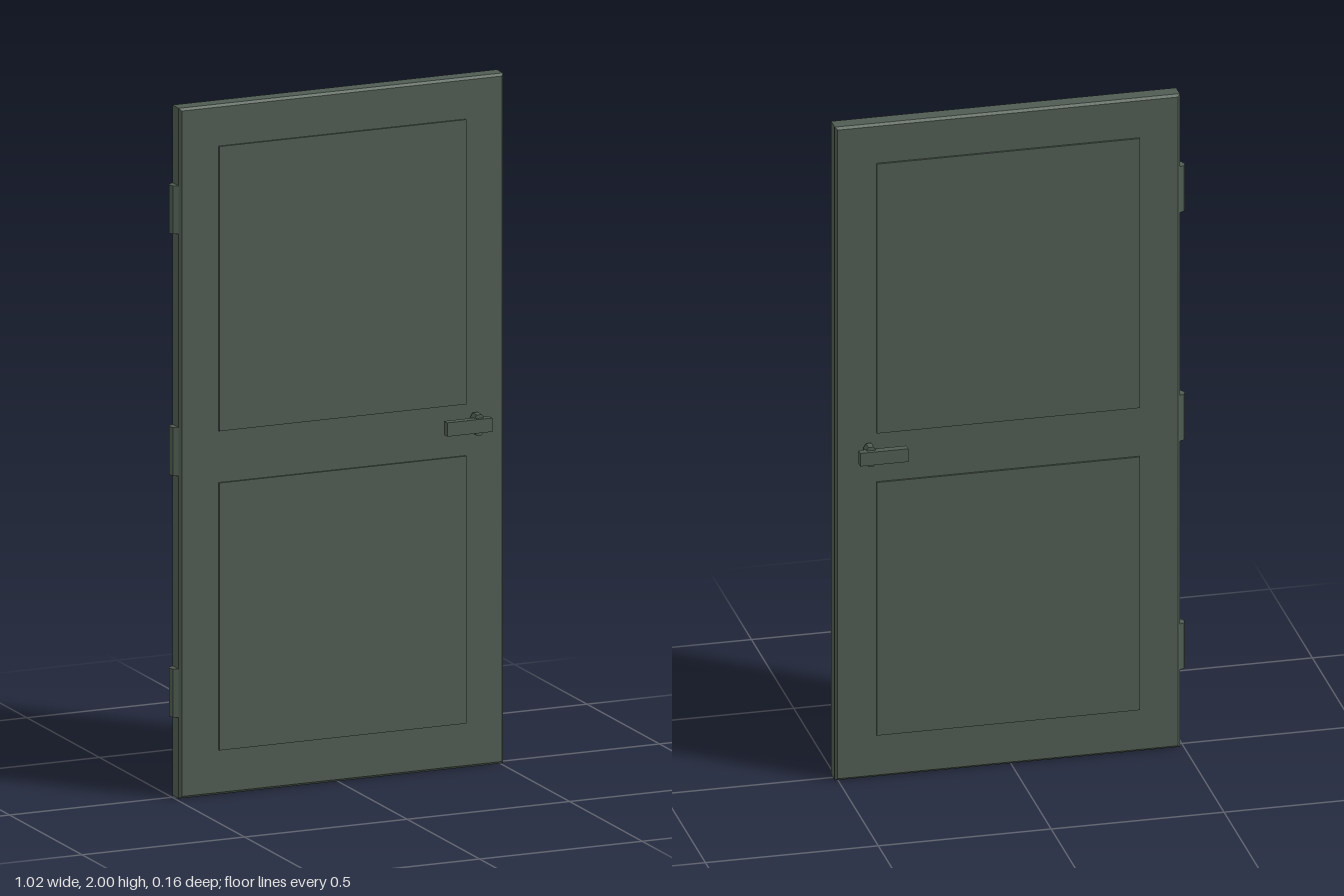
import * as THREE from 'three';

export function createModel() {
  const door = new THREE.Group();
  door.name = 'door';
  const paint = new THREE.MeshStandardMaterial({ color: 0x4f5c52, flatShading: true });
  paint.name = 'dark green paint';

  const add = (geometry, name, x, y, z, parent = door) => {
    const mesh = new THREE.Mesh(geometry, paint);
    mesh.name = name;
    mesh.position.set(x, y, z);
    parent.add(mesh);
    return mesh;
  };

  // Slab with a small chamfer all round
  const w = 0.998, h = 2, d = 0.057, c = 0.007;
  const outline = new THREE.Shape();
  outline.moveTo(-w / 2 + c, c);
  outline.lineTo(w / 2 - c, c);
  outline.lineTo(w / 2 - c, h - c);
  outline.lineTo(-w / 2 + c, h - c);
  outline.closePath();
  const slab = new THREE.ExtrudeGeometry(outline, {
    depth: d - 2 * c, bevelEnabled: true, bevelThickness: c, bevelSize: c, bevelSegments: 1,
  });
  slab.translate(0, 0, -d / 2 + c);
  add(slab, 'slab', 0.01, 0, 0);

  // Octagonal hinge barrels on the right edge
  for (const y of [0.305, 1.005, 1.705]) {
    add(new THREE.CylinderGeometry(0.02, 0.02, 0.14, 8), 'hinge', -0.489, y, 0);
  }

  // Stem profile: upright plate with cut corners
  const stem = new THREE.Shape([
    [-0.008, -0.03], [0.008, -0.03], [0.015, -0.018], [0.015, 0.018],
    [0.008, 0.03], [-0.008, 0.03], [-0.015, 0.018], [-0.015, -0.018],
  ].map(([x, y]) => new THREE.Vector2(x, y)));

  for (const side of [1, -1]) {
    // Raised panels on each face
    for (const [bottom, top] of [[0.13, 0.905], [1.055, 1.88]]) {
      add(new THREE.BoxGeometry(0.76, top - bottom, 0.01), 'raisedPanel',
        0.01, (bottom + top) / 2, side * 0.0295);
    }

    // Lever handle on each face
    const handle = new THREE.Group();
    handle.name = side > 0 ? 'frontHandle' : 'backHandle';
    const stemGeometry = new THREE.ExtrudeGeometry(stem, { depth: 0.03, bevelEnabled: false });
    stemGeometry.translate(0, 0, -0.015);
    add(stemGeometry, 'handleStem', 0.415, 1, side * 0.054, handle);
    add(new THREE.BoxGeometry(0.139, 0.04, 0.023), 'handleLever', 0.38, 1, side * 0.07, handle);
    door.add(handle);
  }
  return door;
}
